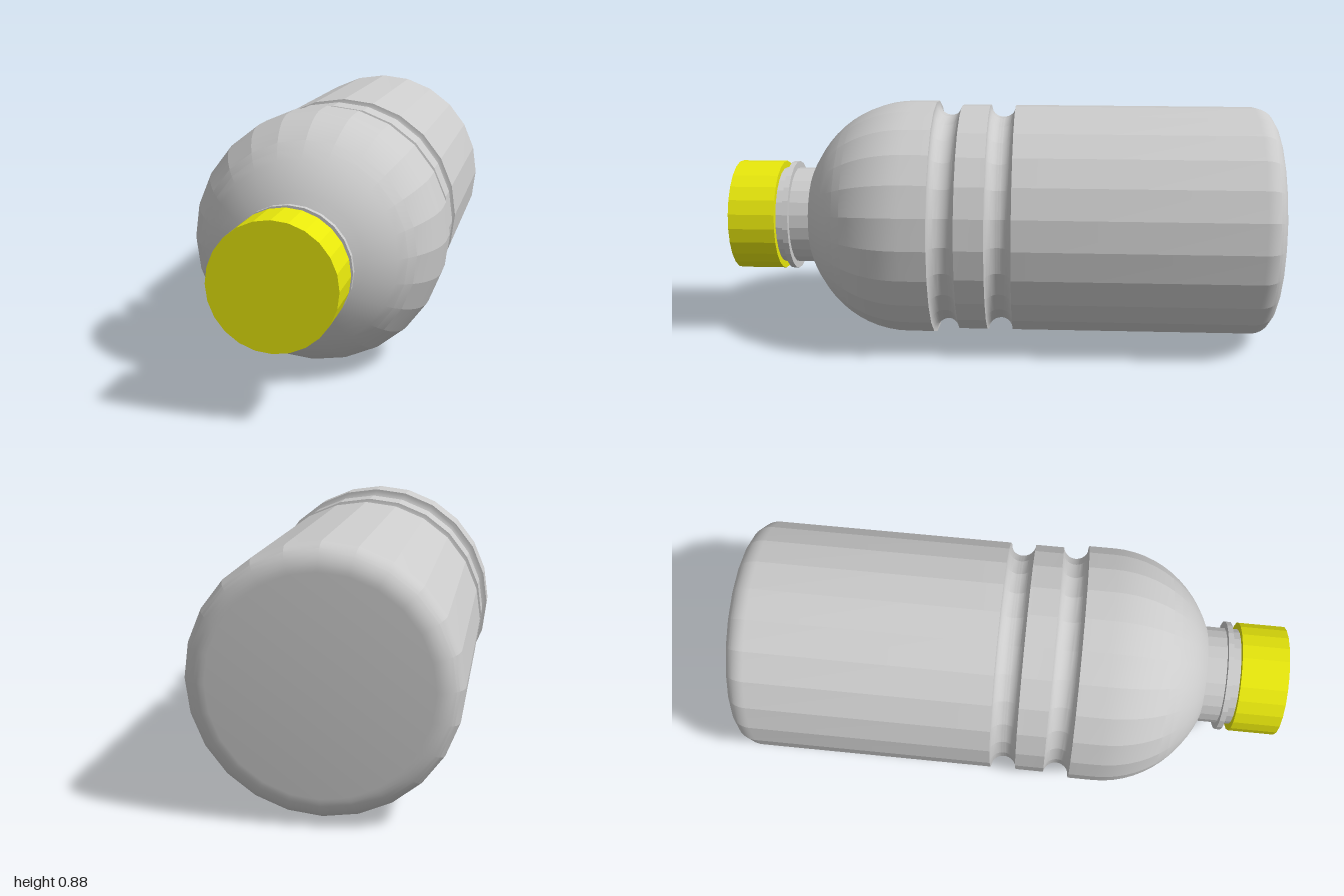
import * as THREE from 'three';
import { toCreasedNormals } from 'three/addons/utils/BufferGeometryUtils.js';

const SIDES = 24;
const AXIS_HEIGHT = 0.443;
const CREASE = 0.22; // keeps the side panels crisp, blends the curved profile

// Points [radius, z] along an elliptical arc.
function arc(r0, z0, rr, rz, from, to, steps) {
  const points = [];
  for (let i = 0; i <= steps; i++) {
    const a = from + (to - from) * (i / steps);
    points.push([r0 + rr * Math.cos(a), z0 + rz * Math.sin(a)]);
  }
  return points;
}

// Turns a back-to-front profile around the z axis.
function turned(name, profile, material) {
  const lathe = new THREE.LatheGeometry(profile.map(([r, z]) => new THREE.Vector2(r, z)), SIDES);
  lathe.rotateX(Math.PI / 2);
  const mesh = new THREE.Mesh(toCreasedNormals(lathe, CREASE), material);
  mesh.name = name;
  return mesh;
}

export function createModel() {
  const grey = new THREE.MeshStandardMaterial({ color: 0xcccccc, side: THREE.DoubleSide });
  const yellow = new THREE.MeshStandardMaterial({ color: 0xe8e80c });
  const R = 0.427;
  const fillet = 0.08;

  const bottle = new THREE.Group();
  bottle.name = 'bottle';
  bottle.position.y = AXIS_HEIGHT;

  // Body with rounded base, two grip grooves and a domed shoulder
  const domeEnd = Math.acos(0.18 / 0.44);
  bottle.add(turned('body', [
    [0, -1],
    ...arc(R - fillet, -1 + fillet, fillet, fillet, -Math.PI / 2, 0, 10),
    ...arc(R, 0, 0.045, 0.047, -Math.PI / 2, -Math.PI * 1.5, 16),
    [R, 0.15],
    ...arc(0.435, 0.198, 0.047, 0.047, -Math.PI / 2 - 0.17, -Math.PI * 1.5, 16),
    [0.44, 0.245],
    ...arc(0, 0.34, 0.44, 0.405, 0, domeEnd, 12),
  ], grey));

  // Neck and its thin collar
  bottle.add(turned('neck', [[0.18, 0.69], [0.18, 0.85]], grey));
  bottle.add(turned('collar', [[0.17, 0.78], [0.205, 0.78], [0.205, 0.8], [0.17, 0.8]], grey));

  // Screw cap
  bottle.add(turned('cap', [[0, 0.83], [0.205, 0.83], [0.205, 1], [0, 1]], yellow));

  const model = new THREE.Group();
  model.add(bottle);
  return model;
}
